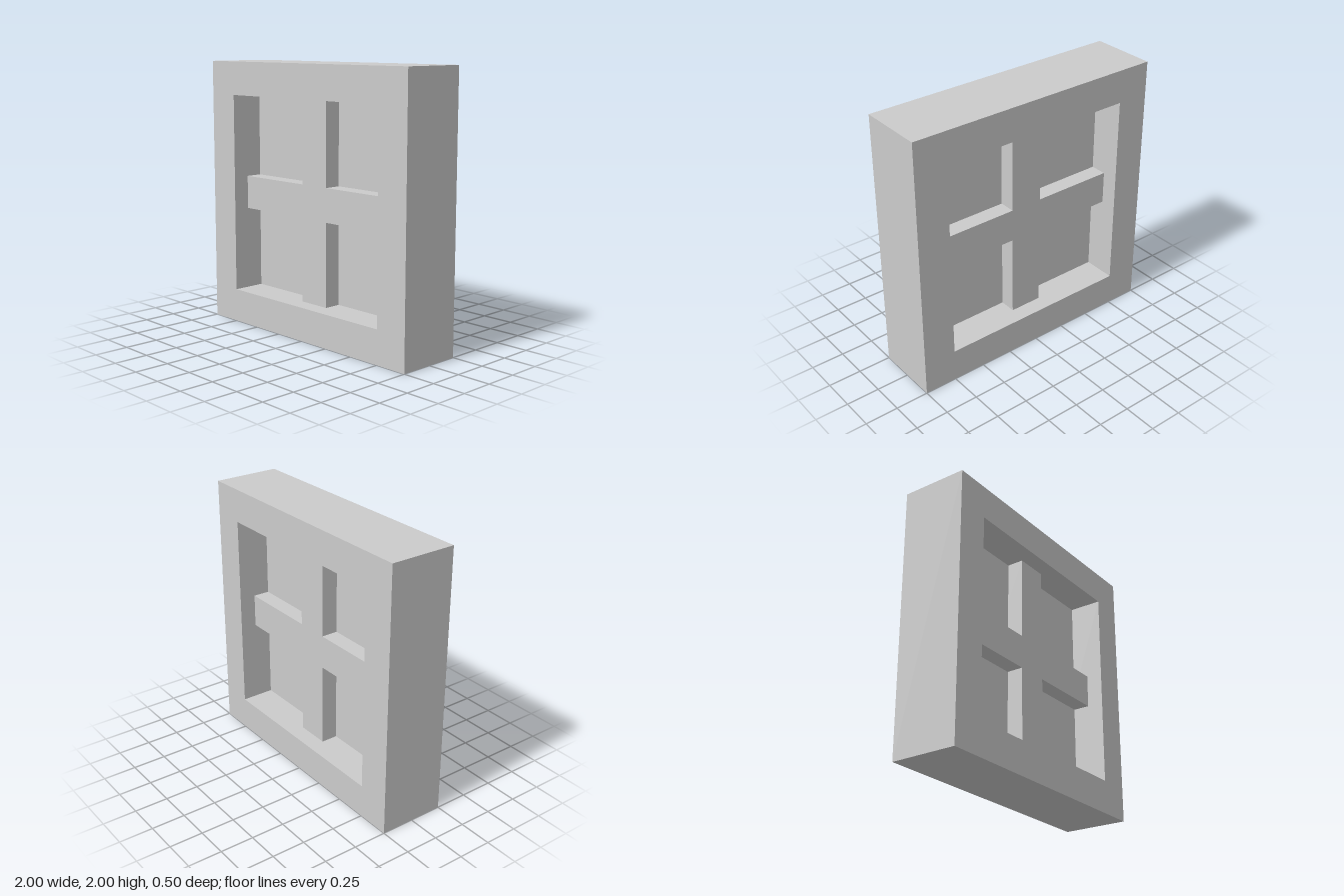
import * as THREE from 'three';

const OUTER = 1;      // half width of the frame
const OPENING = 0.75; // half width of the opening
const BAR = 0.125;    // half width of the crossbars

// Square outline centred on the origin
function square(half, Type) {
  return new Type([[-1, -1], [1, -1], [1, 1], [-1, 1]]
    .map(([x, y]) => new THREE.Vector2(x * half, y * half)));
}

// Straight extrusion centred on z = 0
function extrude(shape, depth) {
  return new THREE.ExtrudeGeometry(shape, { depth, bevelEnabled: false })
    .translate(0, 0, -depth / 2);
}

export function createModel() {
  const group = new THREE.Group();
  group.name = 'window';
  const material = new THREE.MeshStandardMaterial({ color: 0xcccccc, flatShading: true });
  const paneMaterial = new THREE.MeshStandardMaterial({ color: 0xcccccc, side: THREE.DoubleSide });

  const add = (name, geometry, mat, x = 0, y = 0) => {
    const mesh = new THREE.Mesh(geometry, mat);
    mesh.name = name;
    mesh.position.set(x, OUTER + y, 0);
    group.add(mesh);
  };

  // Deep square frame with an open middle
  const frame = square(OUTER, THREE.Shape);
  frame.holes.push(square(OPENING, THREE.Path));
  add('frame', extrude(frame, 0.5), material);

  // Crossbars as one plus-shaped piece, set back from the frame
  const a = OPENING, b = BAR;
  const cross = new THREE.Shape([
    [-b, -a], [b, -a], [b, -b], [a, -b], [a, b], [b, b],
    [b, a], [-b, a], [-b, b], [-a, b], [-a, -b], [-b, -b],
  ].map(([x, y]) => new THREE.Vector2(x, y)));
  add('crossbars', extrude(cross, 0.25), material);

  // Four thin panes in the middle plane
  const size = OPENING - BAR;
  const offset = (OPENING + BAR) / 2;
  for (const [sy, row] of [[1, 'upper'], [-1, 'lower']]) {
    for (const [sx, side] of [[1, 'Left'], [-1, 'Right']]) {
      add(`${row}${side}Pane`, new THREE.PlaneGeometry(size, size), paneMaterial, sx * offset, sy * offset);
    }
  }

  return group;
}
